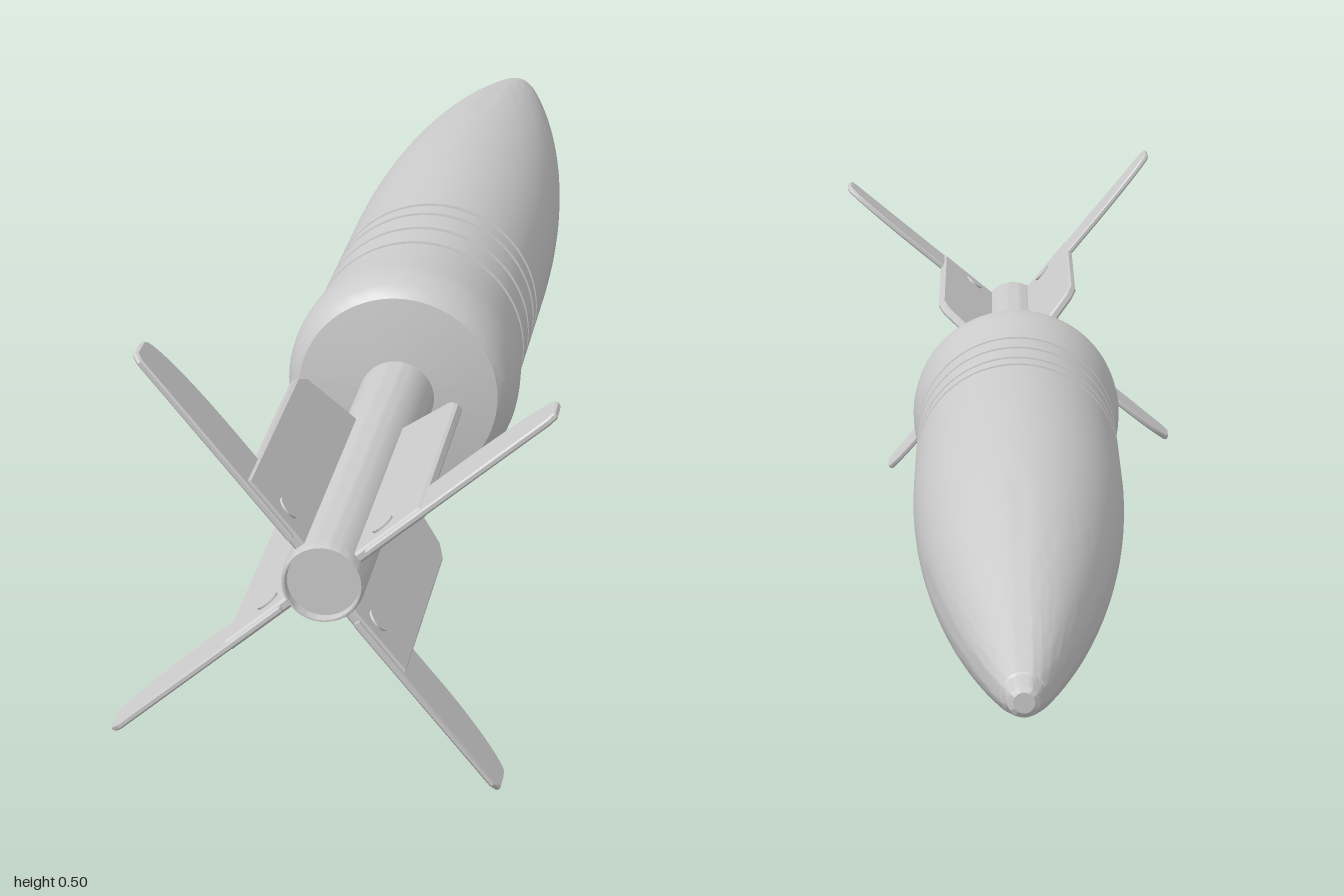
import * as THREE from 'three';
import { toCreasedNormals } from 'three/addons/utils/BufferGeometryUtils.js';

const CX = -0.008, CY = 0.243; // long axis of the shell
const material = new THREE.MeshStandardMaterial({ color: 0xcccccc });

function part(name, geometry, parent) {
  const mesh = new THREE.Mesh(geometry, material);
  mesh.name = name;
  parent.add(mesh);
  return mesh;
}

// Revolve [z, radius] pairs (increasing z) around the z axis
function revolve(profile, segments) {
  const points = profile.map(([z, r]) => new THREE.Vector2(r, z));
  return toCreasedNormals(new THREE.LatheGeometry(points, segments).rotateX(Math.PI / 2), 0.4);
}

// Flat plate drawn as (radius, z), with its thickness across the fin
function plate(shape, thickness, bevel) {
  const depth = thickness - 2 * bevel;
  const geometry = new THREE.ExtrudeGeometry(shape, {
    depth, curveSegments: 12, bevelEnabled: true, bevelSegments: 1,
    bevelThickness: bevel, bevelSize: bevel, bevelOffset: -bevel,
  });
  return toCreasedNormals(geometry.translate(0, 0, -depth / 2).rotateX(Math.PI / 2), 0.5);
}

function bodyProfile() {
  const profile = [[-1, 0], [-1, 0.012], [-0.996, 0.018], [-0.985, 0.021], [-0.972, 0.024], [-0.969, 0.0265]];
  // Ogive nose
  for (let i = 1; i <= 24; i++) {
    const z = -0.969 + (0.869 * i) / 24;
    const u = (-z - 0.1) / 0.9;
    profile.push([z, 0.02 + 0.117 * (1 - u * u)]);
  }
  // Narrow grooves around the waist
  for (const z of [0.04, 0.08, 0.14, 0.2]) {
    profile.push([z - 0.005, 0.137], [z - 0.004, 0.132], [z + 0.004, 0.132], [z + 0.005, 0.137]);
  }
  // Swollen rear shoulder and shallow conical base
  profile.push([0.25, 0.140], [0.3, 0.144], [0.325, 0.145], [0.345, 0.144], [0.37, 0.138],
    [0.383, 0.131], [0.388, 0.125], [0.4, 0.047], [0.4, 0]);
  return profile;
}

function finPlateShape() {
  const s = new THREE.Shape();
  s.moveTo(0.035, 0.585);
  s.lineTo(0.05, 0.59);
  s.lineTo(0.13, 0.63);
  s.lineTo(0.141, 0.655);
  s.lineTo(0.141, 0.985);
  s.lineTo(0.035, 0.985);
  s.closePath();
  return s;
}

function bladeShape(tip) {
  const s = new THREE.Shape();
  s.moveTo(0.06, 0.915);
  s.lineTo(0.2, 0.915);
  s.quadraticCurveTo(tip - 0.035, 0.918, tip - 0.005, 0.94);
  s.quadraticCurveTo(tip, 0.945, tip, 0.955);
  s.lineTo(tip, 0.985);
  s.lineTo(tip - 0.01, 0.992);
  s.lineTo(0.06, 0.992);
  s.closePath();
  return s;
}

export function createModel() {
  const model = new THREE.Group();
  const shell = new THREE.Group();
  shell.name = 'shell';
  shell.position.set(CX, CY, 0);
  model.add(shell);

  part('body', revolve(bodyProfile(), 72), shell);

  // Tail boom with a shallow recess in its end
  part('tailBoom', revolve([
    [0.39, 0.047], [0.985, 0.047], [0.995, 0.046], [1, 0.044], [1, 0.042], [0.988, 0.041], [0.988, 0],
  ], 48), shell);

  // Four fins, each a fixed plate with a thin swing-out blade and a pivot pin
  const tips = [0.329, 0.329, 0.312, 0.312];
  tips.forEach((tip, i) => {
    const fin = new THREE.Group();
    fin.name = 'fin' + (i + 1);
    fin.rotation.z = THREE.MathUtils.degToRad(39.4 + 90 * i);
    shell.add(fin);
    part('finPlate', plate(finPlateShape(), 0.013, 0.003), fin).position.y = -0.003;
    part('finBlade', plate(bladeShape(tip), 0.008, 0.002), fin).position.y = -0.003;
    const pin = new THREE.CylinderGeometry(0.014, 0.014, 0.018, 20);
    part('pivotPin', pin, fin).position.set(0.082, -0.003, 0.95);
  });

  return model;
}
